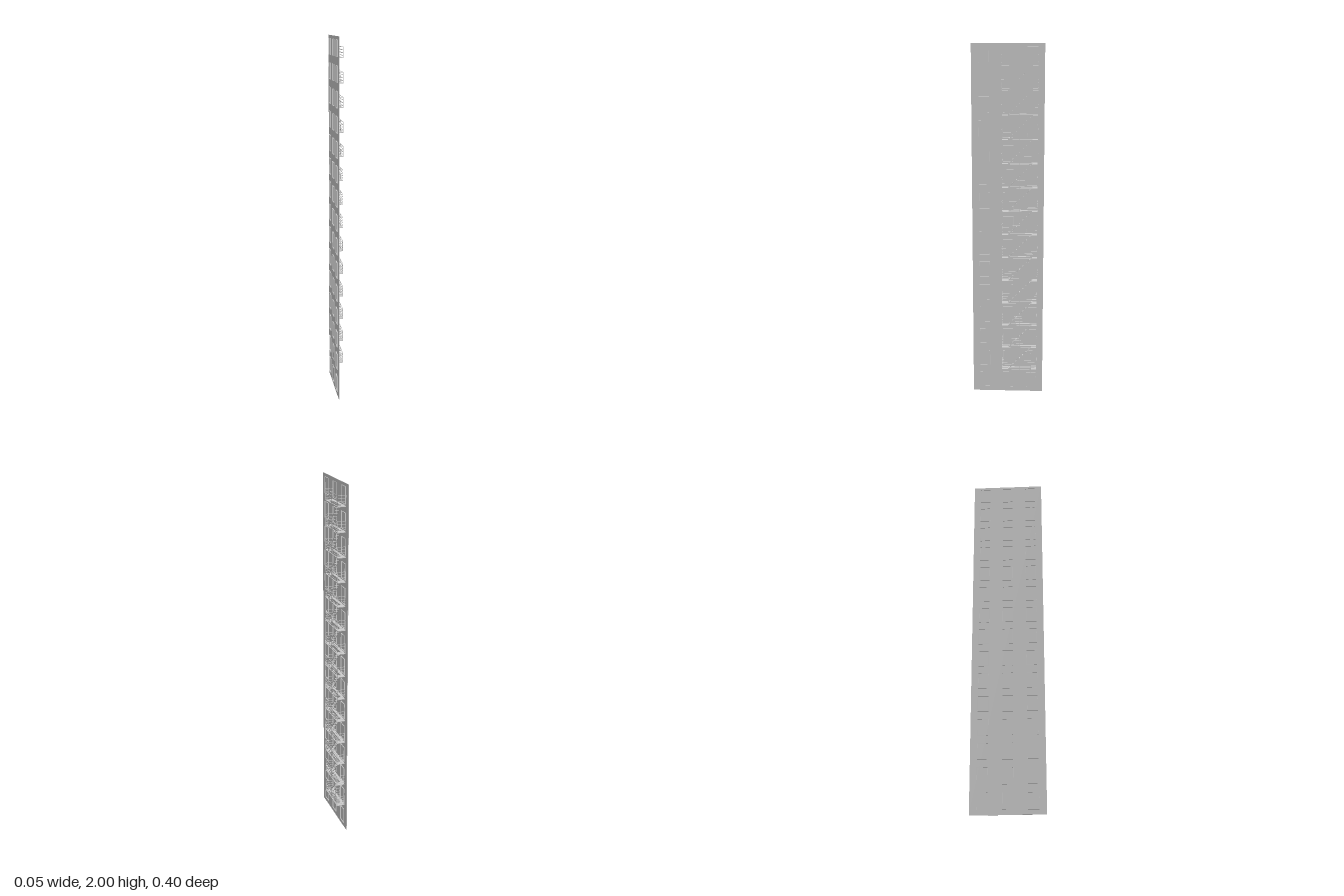
import * as THREE from 'three';

const mat = new THREE.MeshStandardMaterial({ color: 0xcccccc, flatShading: true, side: THREE.DoubleSide });
const STOREYS = 15, PITCH = 2 / STOREYS;
const WALL_X = -0.021;
const X0 = -0.02, X1 = 0.026, Z0 = -0.167, Z1 = 0.033; // balcony extents
const HX0 = -0.004, HX1 = 0.021, HZ0 = -0.136, HZ1 = -0.008; // stair opening
const RAIL_H = 0.06, BAR = 0.002;

// Box given by its min and max corners
function bar(name, x0, x1, y0, y1, z0, z1) {
  const m = new THREE.Mesh(new THREE.BoxGeometry(x1 - x0, y1 - y0, z1 - z0), mat);
  m.position.set((x0 + x1) / 2, (y0 + y1) / 2, (z0 + z1) / 2);
  m.name = name;
  return m;
}

// Shallow window surround passing through the wall
function createWindow() {
  const g = new THREE.Group();
  g.name = 'windowFrame';
  const a = WALL_X - 0.006, b = WALL_X + 0.006, t = 0.001, w = 0.0285, h = 0.09;
  g.add(bar('sill', a, b, 0, t, -w, w), bar('head', a, b, h - t, h, -w, w));
  for (const s of [-1, 1]) g.add(bar('jamb', a, b, 0, h, s * w - t / 2, s * w + t / 2));
  return g;
}

// Floor plate with a stair opening, and railings on three sides
function createBalcony() {
  const g = new THREE.Group();
  g.name = 'balcony';
  const rect = (P, x0, x1, z0, z1) => {
    const p = new P();
    p.moveTo(x0, -z0); p.lineTo(x1, -z0); p.lineTo(x1, -z1); p.lineTo(x0, -z1); p.closePath();
    return p;
  };
  const shape = rect(THREE.Shape, X0, X1, Z0, Z1);
  shape.holes.push(rect(THREE.Path, HX0, HX1, HZ0, HZ1));
  const floor = new THREE.Mesh(new THREE.ExtrudeGeometry(shape, { depth: 0.003, bevelEnabled: false }), mat);
  floor.rotation.x = -Math.PI / 2;
  floor.name = 'floor';
  g.add(floor);
  for (let i = 1; i <= 4; i++) {
    const y = RAIL_H * i / 4;
    g.add(bar('frontRail', X1 - BAR, X1, y - BAR, y, Z0, Z1));
    g.add(bar('sideRail', X0, X1, y - BAR, y, Z0, Z0 + BAR));
    g.add(bar('sideRail', X0, X1, y - BAR, y, Z1 - BAR, Z1));
  }
  for (const z of [Z0, (Z0 + Z1) / 2 - BAR / 2, Z1 - BAR])
    g.add(bar('post', X1 - BAR, X1, 0, RAIL_H, z, z + BAR));
  for (const z of [Z0, Z1 - BAR]) g.add(bar('wallPost', X0, X0 + BAR, 0, RAIL_H, z, z + BAR));
  return g;
}

// Flight rising one storey towards the back
function createStair() {
  const g = new THREE.Group();
  g.name = 'stair';
  const zLow = -0.002, zHigh = -0.134, run = zLow - zHigh;
  for (const x of [HX0, HX1 - BAR]) {
    const s = bar('stringer', x, x + BAR, -0.002, 0.002, -Math.hypot(run, PITCH) / 2, Math.hypot(run, PITCH) / 2);
    s.position.set(x + BAR / 2, PITCH / 2, (zLow + zHigh) / 2);
    s.rotation.x = Math.atan2(PITCH, run);
    g.add(s);
  }
  for (let i = 0; i < 7; i++) {
    const t = (i + 0.5) / 7, z = zLow - run * t, y = PITCH * t;
    g.add(bar('tread', HX0, HX1, y - 0.0008, y + 0.0008, z - 0.003, z + 0.003));
  }
  return g;
}

// Drop ladder at the lowest balcony
function createLadder() {
  const g = new THREE.Group();
  g.name = 'dropLadder';
  const z = -0.132, y0 = 0.12, y1 = 0.25;
  for (const x of [HX0, HX1 - BAR]) g.add(bar('ladderRail', x, x + BAR, y0, y1, z, z + BAR));
  for (let i = 0; i < 8; i++) {
    const y = y0 + 0.008 + i * 0.016;
    g.add(bar('rung', HX0, HX1, y, y + 0.0015, z, z + BAR));
  }
  return g;
}

export function createModel() {
  const model = new THREE.Group();
  model.name = 'fireEscapeWall';
  model.add(bar('wall', WALL_X - 0.0015, WALL_X + 0.0015, 0, 2, -0.2, 0.2));

  for (let i = 0; i < STOREYS; i++) {
    for (const z of [-0.134, -0.001, 0.132]) {
      const w = createWindow();
      w.position.set(0, 0.027 + i * PITCH, z);
      model.add(w);
    }
    // Balconies start above the ground storey; each but the top one carries a flight
    if (i === 0) continue;
    const y = 0.149 + (i - 1) * PITCH;
    const b = createBalcony();
    b.position.y = y;
    model.add(b);
    if (i < STOREYS - 1) {
      const s = createStair();
      s.position.y = y;
      model.add(s);
    }
  }
  model.add(createLadder());
  return model;
}
